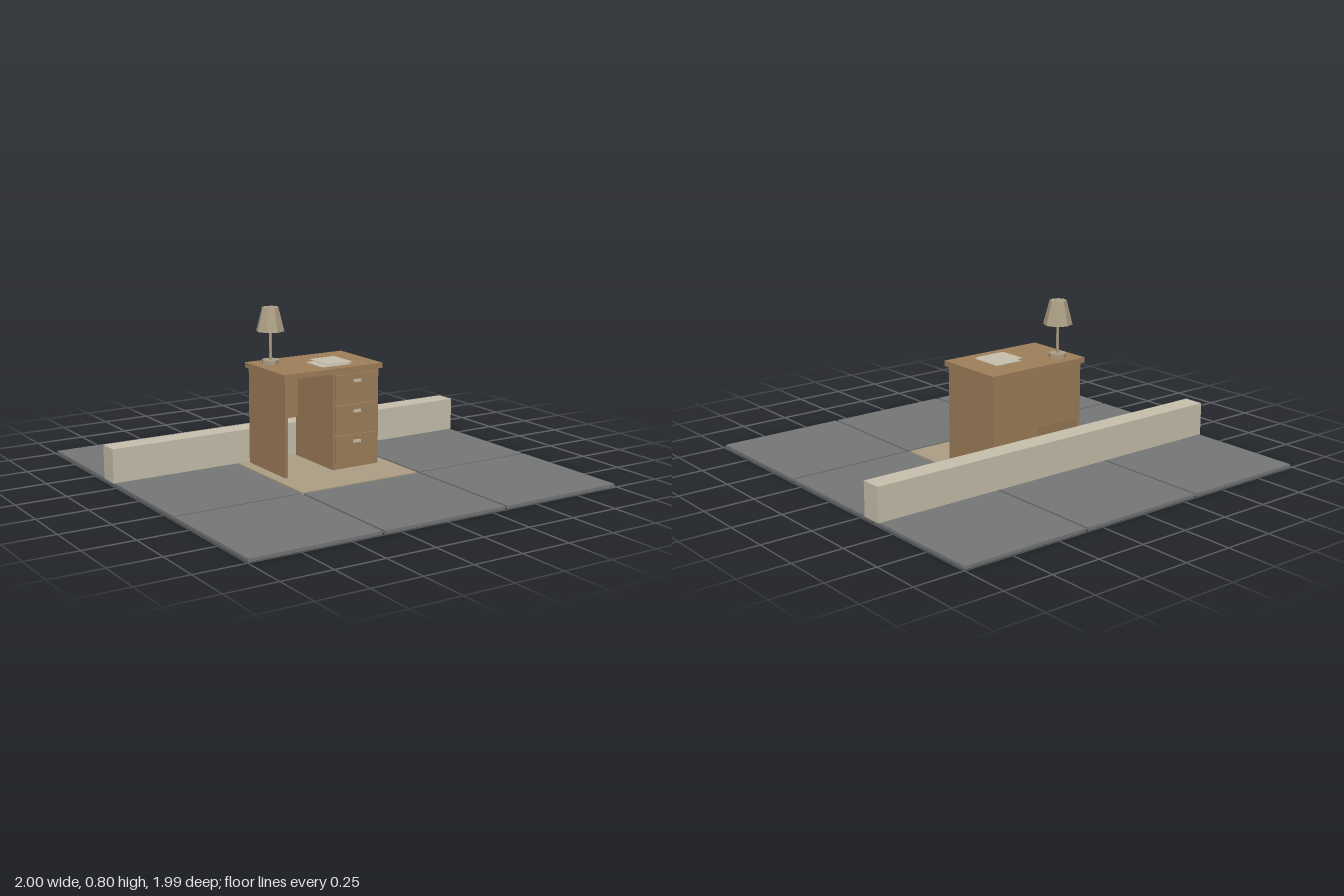
import * as THREE from 'three';

const mat = (name, color) => {
  const m = new THREE.MeshStandardMaterial({ color });
  m.name = name;
  return m;
};

export function createModel() {
  const root = new THREE.Group();
  root.name = 'deskCorner';
  const grey = mat('floor grey', 0x767878);
  const wood = mat('desk wood', 0xa0805b);
  const tan = mat('tan', 0xae9f85);
  const cream = mat('cream', 0xc9c1ae);

  const group = (name) => {
    const g = new THREE.Group();
    g.name = name;
    root.add(g);
    return g;
  };
  // Box given by its extents on each axis
  const box = (parent, name, m, [x0, x1], [y0, y1], [z0, z1]) => {
    const mesh = new THREE.Mesh(new THREE.BoxGeometry(x1 - x0, y1 - y0, z1 - z0), m);
    mesh.position.set((x0 + x1) / 2, (y0 + y1) / 2, (z0 + z1) / 2);
    mesh.name = name;
    parent.add(mesh);
  };

  // Floor: 3 x 3 tiles, the middle one tan
  const floor = group('floor');
  const T = 0.015, half = 0.3265, pitch = 0.6665;
  for (let i = -1; i <= 1; i++) {
    for (let j = -1; j <= 1; j++) {
      const mid = i === 0 && j === 0;
      box(floor, mid ? 'middleTile' : 'floorTile', mid ? tan : grey,
        [i * pitch - half, i * pitch + half], [0, T], [j * pitch - half, j * pitch + half]);
    }
  }

  // Low wall behind the desk
  box(root, 'lowWall', cream, [-1, 1], [T, 0.182], [-0.389, -0.283]);

  // Desk
  const desk = group('desk');
  box(desk, 'deskTop', wood, [-0.282, 0.282], [0.497, 0.523], [-0.283, 0.09]);
  box(desk, 'drawerCabinet', wood, [0, 0.265], [T, 0.497], [-0.267, 0.079]);
  box(desk, 'sidePanel', wood, [-0.27, -0.255], [T, 0.497], [-0.267, 0.079]);
  box(desk, 'backPanel', wood, [-0.255, 0], [0.218, 0.497], [-0.262, -0.247]);

  // Drawers with handles
  for (const y of [0.112, 0.264, 0.415]) {
    box(desk, 'drawerFront', wood, [0.01, 0.253], [y - 0.07, y + 0.07], [0.079, 0.088]);
    box(desk, 'drawerHandle', cream, [0.112, 0.153], [y + 0.029, y + 0.043], [0.088, 0.096]);
  }

  // Papers
  const papers = group('papers');
  box(papers, 'lowerSheet', cream, [-0.035, 0.132], [0.523, 0.526], [-0.112, 0.037]);
  box(papers, 'upperSheet', cream, [0.01, 0.158], [0.526, 0.529], [-0.156, 0.01]);

  // Lamp
  const lamp = group('lamp');
  lamp.position.set(-0.19, 0.523, -0.19);
  const drum = (name, m, rTop, rBottom, y0, y1) => {
    const g = new THREE.CylinderGeometry(rTop, rBottom, y1 - y0, 8).toNonIndexed();
    g.computeVertexNormals();
    const mesh = new THREE.Mesh(g, m);
    mesh.position.y = (y0 + y1) / 2;
    mesh.name = name;
    lamp.add(mesh);
  };
  drum('lampBase', tan, 0.044, 0.044, 0, 0.02);
  drum('lampStem', tan, 0.007, 0.007, 0.02, 0.165);
  drum('lampShade', tan, 0.041, 0.071, 0.162, 0.279);

  return root;
}
